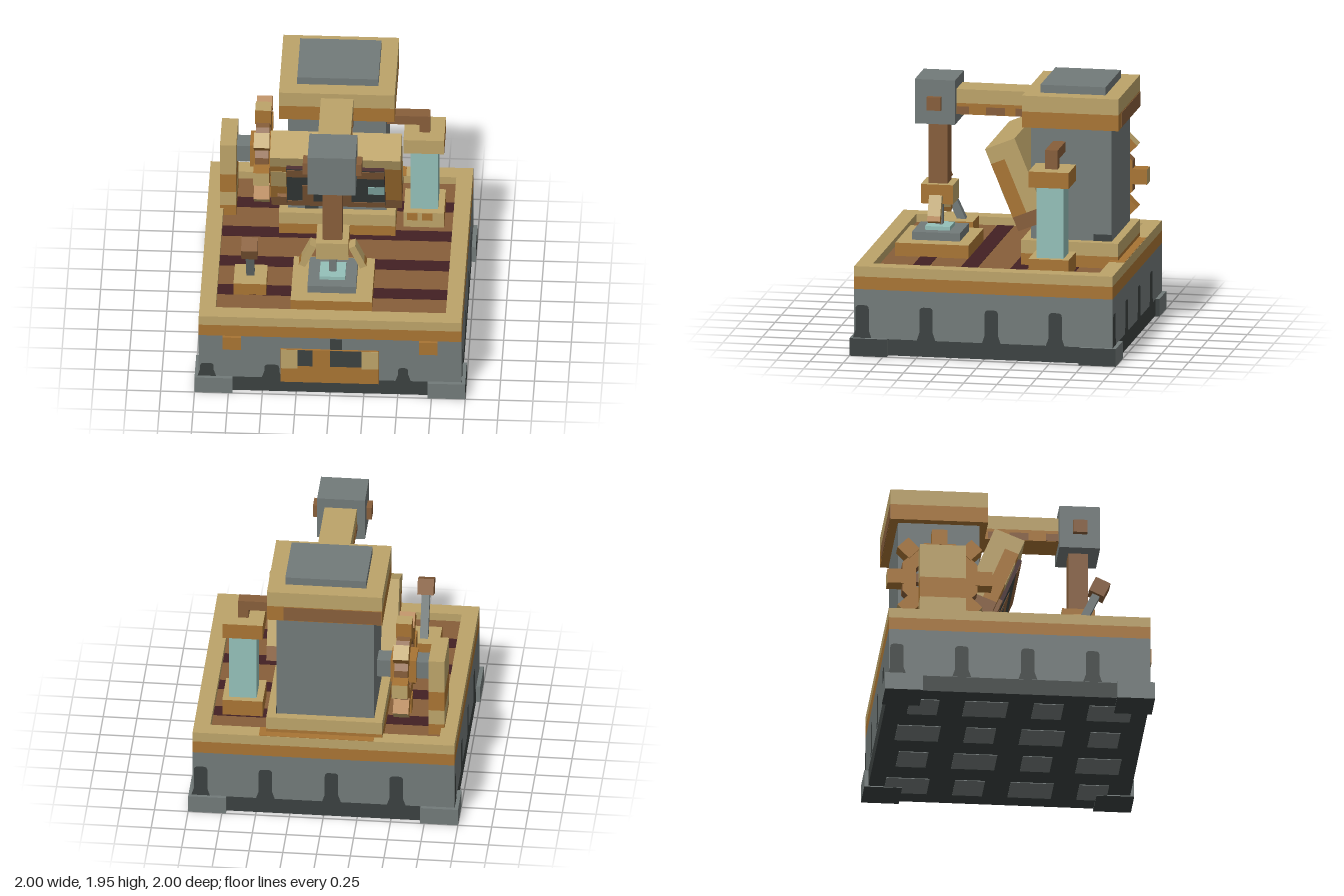
import * as THREE from 'three';

const mat = (name, color) => Object.assign(new THREE.MeshStandardMaterial({ color }), { name });
const light = mat('paleBrass', 0xbca369);
const gold = mat('darkBrass', 0xa87433);
const wood = mat('wood', 0x875e3a);
const maroon = mat('darkPlank', 0x422023);
const stone = mat('stone', 0x727a79);
const dark = mat('darkStone', 0x3b4140);
const glass = mat('glass', 0x94c0b9);

export function createModel() {
  const model = new THREE.Group();
  model.name = 'workshopMachine';

  const group = (name, x = 0, y = 0, z = 0, parent = model) => {
    const g = new THREE.Group();
    g.name = name;
    g.position.set(x, y, z);
    parent.add(g);
    return g;
  };
  // box given by its limits on each axis
  const box = (name, m, x0, x1, y0, y1, z0, z1, parent = model) => {
    const mesh = new THREE.Mesh(new THREE.BoxGeometry(x1 - x0, y1 - y0, z1 - z0), m);
    mesh.name = name;
    mesh.position.set((x0 + x1) / 2, (y0 + y1) / 2, (z0 + z1) / 2);
    parent.add(mesh);
    return mesh;
  };

  // Base block
  const base = group('base');
  box('baseFoot', dark, -0.97, 0.97, 0.008, 0.13, -0.97, 0.97, base);
  box('baseWall', stone, -0.97, 0.97, 0.13, 0.5, -0.97, 0.97, base);
  for (const sx of [-1, 1]) for (const sz of [-1, 1]) {
    const sides = [dark, stone, stone, dark, stone, stone];
    const x = sx * 0.86, z = sz * 0.86;
    box('cornerFoot', sides, x - 0.14, x + 0.14, 0, 0.133, z - 0.14, z + 0.14, base);
  }

  // Dark drips climbing each wall
  const drip = (wall, x, w, h) => {
    const a = w / 2, s = new THREE.Shape();
    s.moveTo(-a - 0.02, 0.13).lineTo(a + 0.02, 0.13).lineTo(a, 0.19).lineTo(a, h - 0.03);
    s.quadraticCurveTo(a, h, a - 0.03, h).lineTo(0.03 - a, h);
    s.quadraticCurveTo(-a, h, -a, h - 0.03).lineTo(-a, 0.19).closePath();
    const mesh = new THREE.Mesh(new THREE.ShapeGeometry(s, 4), dark);
    mesh.name = 'drip';
    mesh.position.set(x, 0, 0.973);
    wall.add(mesh);
  };
  for (let i = 0; i < 4; i++) {
    const wall = group('wallMarks', 0, 0, 0, base);
    wall.rotation.y = i * Math.PI / 2;
    if (i === 0) {
      drip(wall, -0.91, 0.1, 0.25);
      drip(wall, -0.43, 0.11, 0.25);
      drip(wall, 0.54, 0.075, 0.25);
    } else for (const x of [-0.91, -0.43, 0.06, 0.54]) drip(wall, x, 0.1, 0.38);
  }
  box('wallPatch', dark, 0, 0.09, 0.4, 0.495, 0.968, 0.973, base);

  // Pale patches under the base
  for (let i = 0; i < 4; i++) for (let j = 0; j < 4; j++) {
    const x = -0.69 + i * 0.46, z = -0.69 + j * 0.46;
    const a = 0.13, b = (i + j) % 2 ? 0.16 : 0.11;
    box('underPatch', stone, x - a, x + a, 0.003, 0.01, z - b, z + b, base);
  }

  // Rim around the deck
  const frame = (m, y0, y1) => {
    for (const s of [-1, 1]) {
      const c = s * 0.91;
      box('rimLong', m, -0.97, 0.97, y0, y1, c - 0.06, c + 0.06, base);
      box('rimSide', m, c - 0.06, c + 0.06, y0, y1, -0.85, 0.85, base);
    }
  };
  frame(gold, 0.5, 0.595);
  frame(light, 0.595, 0.672);
  box('rimPatch', gold, -0.37, 0.48, 0.668, 0.675, -0.968, -0.85, base);

  // Plank deck
  box('deck', wood, -0.85, 0.85, 0.5, 0.61, -0.85, 0.85, base);
  for (const z of [-0.555, -0.19, 0.18, 0.54])
    box('darkPlank', maroon, -0.85, 0.85, 0.607, 0.613, z - 0.062, z + 0.062, base);

  // Front plate and latches
  box('frontPlate', gold, -0.365, 0.36, 0.105, 0.4, 0.96, 0.985, base);
  for (const [m, x0, x1, y0] of [[light, -0.363, -0.24, 0.23], [dark, -0.24, -0.13, 0.255],
    [dark, 0, 0.235, 0.255], [light, 0.235, 0.358, 0.24]])
    box('plateInlay', m, x0, x1, y0, 0.398, 0.981, 0.988, base);
  for (const s of [-1, 1])
    box('latch', gold, s * 0.726 - 0.068, s * 0.726 + 0.068, 0.39, 0.5, 0.96, 0.993, base);

  // Tower
  const tower = group('tower');
  box('plinthLower', gold, -0.43, 0.43, 0.6, 0.7, -0.91, -0.18, tower);
  box('plinthUpper', light, -0.43, 0.43, 0.7, 0.8, -0.91, -0.18, tower);
  box('towerBody', stone, -0.365, 0.36, 0.8, 1.65, -0.848, -0.243, tower);
  for (const z of [-0.36, -0.78])
    box('towerStain', dark, 0.355, 0.364, 0.8, 0.85, z - 0.07, z + 0.07, tower);
  box('towerStain', dark, -0.24, -0.14, 0.8, 0.85, -0.245, -0.239, tower);
  box('capLower', gold, -0.43, 0.425, 1.65, 1.77, -0.91, -0.185, tower);
  box('capUpper', light, -0.43, 0.425, 1.77, 1.89, -0.91, -0.185, tower);
  box('capBackPatch', wood, -0.425, 0.3, 1.655, 1.765, -0.914, -0.908, tower);
  box('roofPlate', stone, -0.3, 0.3, 1.89, 1.95, -0.79, -0.3, tower);

  // Overhead arm and head
  const arm = group('arm');
  box('armLower', gold, -0.12, 0.12, 1.66, 1.745, -0.19, 0.37, arm);
  box('armUpper', light, -0.12, 0.12, 1.745, 1.85, -0.19, 0.37, arm);
  for (const [z0, z1] of [[-0.16, -0.08], [0, 0.14], [0.27, 0.36]])
    box('armPatch', wood, -0.123, 0.123, 1.663, 1.72, z0, z1, arm);
  box('head', stone, -0.18, 0.175, 1.59, 1.925, 0.365, 0.667, arm);
  box('headBolt', wood, -0.22, 0.215, 1.7, 1.8, 0.465, 0.57, arm);
  box('pressRod', wood, -0.075, 0.072, 1.12, 1.59, 0.44, 0.585, arm);
  box('pressHub', [gold, gold, light, gold, light, light], -0.12, 0.12, 0.975, 1.12, 0.39, 0.632, arm);
  box('needle', stone, -0.026, 0.026, 0.8, 0.98, 0.487, 0.539, arm);
  for (const s of [-1, 1]) {
    const finger = group('finger', s * 0.185, 0.95, 0.513, arm);
    finger.rotation.z = s * 0.43;
    box('fingerUpper', light, -0.026, 0.026, -0.06, 0.1, -0.048, 0.048, finger);
    box('fingerTip', [gold, gold, gold, gold, light, gold], -0.026, 0.026, -0.1, -0.06, -0.048, 0.048, finger);
  }

  // Work platform below the press
  const platform = group('workPlatform');
  box('platformBase', [gold, gold, light, gold, gold, gold], -0.3, 0.3, 0.6, 0.71, 0.24, 0.79, platform);
  box('platformPlate', stone, -0.18, 0.178, 0.71, 0.77, 0.328, 0.688, platform);
  box('platformGlass', glass, -0.095, 0.095, 0.77, 0.798, 0.418, 0.605, platform);

  // Lever
  const lever = group('lever', -0.61, 0.7, 0.457);
  box('leverBase', [gold, gold, light, gold, gold, gold], -0.12, 0.122, -0.1, 0.01, -0.1, 0.145, lever);
  const stick = group('leverStick', 0, 0, 0, lever);
  stick.rotation.x = 0.436;
  box('leverShaft', stone, -0.03, 0.03, -0.06, 0.34, -0.03, 0.03, stick);
  box('leverKnob', wood, -0.06, 0.06, 0.326, 0.446, -0.06, 0.06, stick);

  // Leaning console with its screen
  const con = group('console', 0, 1.226, -0.155);
  con.rotation.x = 0.39;
  box('consoleBottom', wood, -0.485, 0.48, -0.33, -0.22, -0.12, 0.12, con);
  box('consoleFront', gold, -0.485, 0.48, -0.22, 0.21, 0.01, 0.12, con);
  box('consoleBack', light, -0.485, 0.48, -0.22, 0.21, -0.12, 0.01, con);
  box('consoleTop', light, -0.485, 0.48, 0.21, 0.33, -0.12, 0.12, con);
  box('consolePatch', light, -0.482, -0.37, -0.06, 0.14, 0.117, 0.124, con);
  box('consoleKnob', wood, -0.437, -0.37, -0.275, -0.165, 0.11, 0.15, con);
  box('screen', [maroon, maroon, maroon, maroon, dark, maroon], -0.365, 0.36, -0.25, 0.228, 0.12, 0.15, con);
  box('screenBand', wood, -0.363, 0.358, 0.12, 0.215, 0.147, 0.153, con);
  box('screenFoot', wood, -0.363, 0.358, -0.248, -0.21, 0.147, 0.153, con);
  box('screenFigure', wood, -0.25, 0.11, -0.21, 0.01, 0.147, 0.153, con);
  box('screenFigureGap', dark, -0.17, 0.04, -0.21, -0.08, 0.149, 0.155, con);
  box('screenLight', glass, 0.235, 0.357, -0.095, 0.005, 0.147, 0.154, con);

  // Glass tank and pipe
  const tank = group('tank');
  const trim = [gold, gold, light, gold, light, gold];
  box('tankBase', trim, 0.485, 0.785, 0.6, 0.74, -0.605, -0.303, tank);
  for (const x of [0.51, 0.62])
    box('tankBasePatch', gold, x, x + 0.08, 0.672, 0.735, -0.305, -0.3, tank);
  box('tankGlass', glass, 0.535, 0.738, 0.74, 1.28, -0.558, -0.354, tank);
  box('tankCap', trim, 0.485, 0.785, 1.28, 1.4, -0.605, -0.303, tank);
  box('pipeRiser', wood, 0.6, 0.677, 1.4, 1.543, -0.502, -0.408, tank);
  box('pipe', wood, 0.35, 0.6, 1.467, 1.543, -0.502, -0.408, tank);

  // Gear post and axle
  const drive = group('gearDrive');
  const bands = [0.6, 0.7, 0.75, 0.82, 0.98, 1.245];
  for (let i = 0; i < 5; i++)
    box('gearPost', i % 2 ? light : gold, -0.875, -0.755, bands[i], bands[i + 1], -0.73, -0.39, drive);
  drive.children[4].material = light;
  drive.children[3].material = gold;
  drive.children[2].material = light;
  box('axle', stone, -0.76, -0.36, 1.03, 1.17, -0.63, -0.49, drive);

  // Gear wheel with eight teeth
  const gear = group('gear', -0.562, 1.1, -0.56, drive);
  const ngon = (path, r) => {
    for (let i = 0; i <= 8; i++) {
      const a = (i + 0.5) * Math.PI / 4;
      path[i ? 'lineTo' : 'moveTo'](Math.cos(a) * r, Math.sin(a) * r);
    }
    return path;
  };
  const ringShape = ngon(new THREE.Shape(), 0.3);
  ringShape.holes.push(ngon(new THREE.Path(), 0.19));
  const ring = new THREE.Mesh(
    new THREE.ExtrudeGeometry(ringShape, { depth: 0.1, bevelEnabled: false }), [gold, wood]);
  ring.name = 'gearRing';
  ring.rotation.y = Math.PI / 2;
  ring.position.x = -0.05;
  gear.add(ring);
  box('gearHub', gold, -0.095, 0.095, -0.095, 0.095, -0.095, 0.095, gear);
  for (let i = 0; i < 8; i++) {
    const arc = group('gearSector', 0, 0, 0, gear);
    arc.rotation.x = i * Math.PI / 4;
    box('tooth', [gold, gold, light, gold, gold, gold], -0.058, 0.058, 0.265, 0.388, -0.057, 0.057, arc);
    if (i % 2 === 0) box('spoke', wood, -0.035, 0.035, 0.08, 0.2, -0.035, 0.035, arc);
  }
  return model;
}
